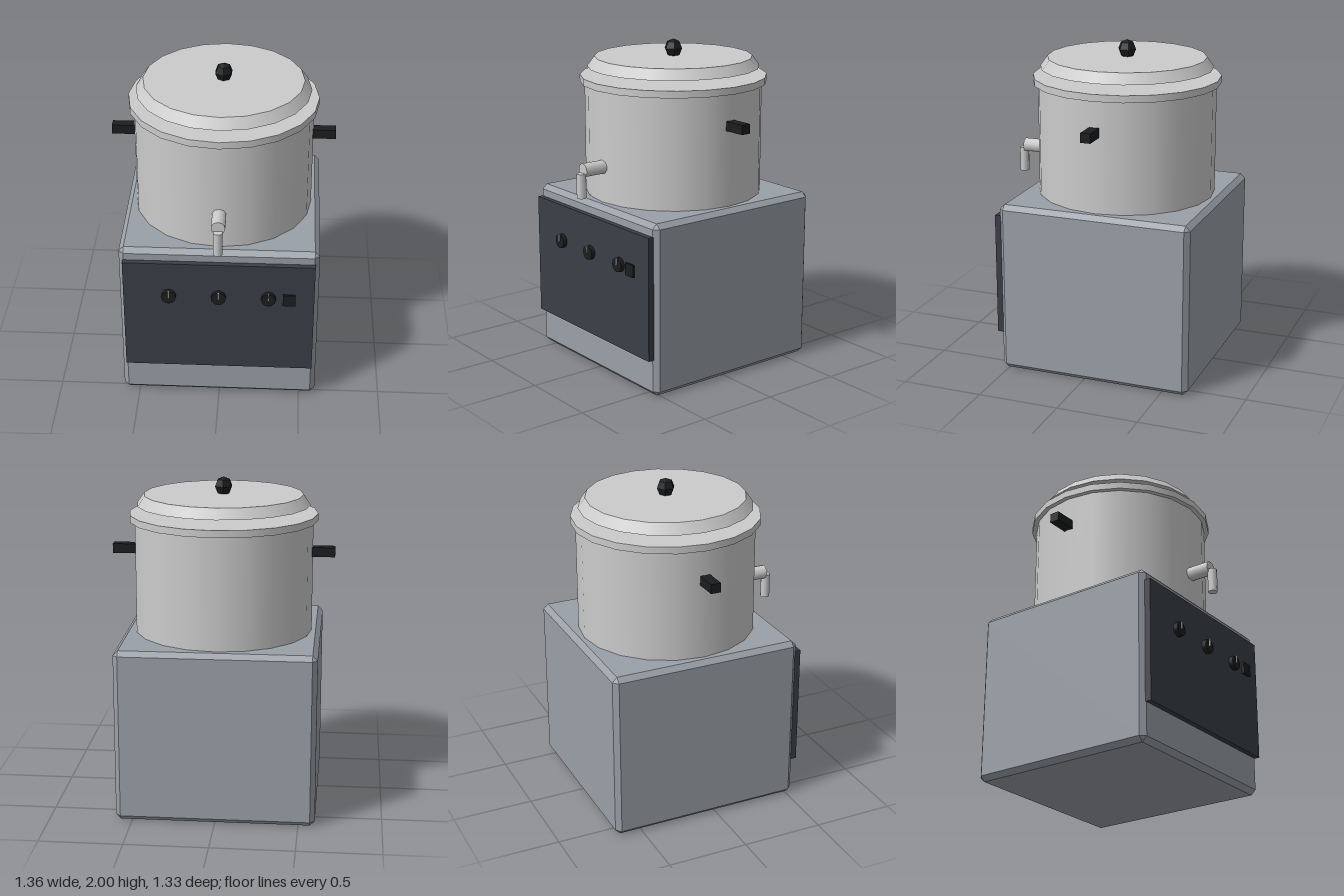
import * as THREE from 'three';
import { ConvexGeometry } from 'three/addons/geometries/ConvexGeometry.js';

const mat = (color, flatShading = false) => new THREE.MeshStandardMaterial({ color, flatShading });
const steel = mat(0xcfcfd2);
const casing = mat(0x9aa0a8);
const panelGrey = mat(0x3a3e47);
const black = mat(0x1b1d1f);
const blackFacet = mat(0x1b1d1f, true);
const white = mat(0xeeeeee);

const CZ = -0.06; // depth of the casing and pot axis

// Box with a single flat chamfer on every edge
function chamferBox(w, h, d, c) {
  const pts = [];
  for (const x of [-1, 1]) for (const y of [-1, 1]) for (const z of [-1, 1]) {
    for (const k of [0, 1, 2]) {
      pts.push(new THREE.Vector3(
        x * (w / 2 - (k === 0 ? 0 : c)),
        y * (h / 2 - (k === 1 ? 0 : c)),
        z * (d / 2 - (k === 2 ? 0 : c))));
    }
  }
  return new ConvexGeometry(pts);
}

export function createModel() {
  const model = new THREE.Group();
  model.name = 'countertopCooker';

  const add = (name, geometry, material, x, y, z) => {
    const mesh = new THREE.Mesh(geometry, material);
    mesh.name = name;
    mesh.position.set(x, y, z);
    model.add(mesh);
    return mesh;
  };
  const box = (name, w, h, d, material, x, y, z) =>
    add(name, new THREE.BoxGeometry(w, h, d), material, x, y, z);
  const drum = (name, rTop, rBottom, y0, y1, sides, material, x, z) =>
    add(name, new THREE.CylinderGeometry(rTop, rBottom, y1 - y0, sides), material, x, (y0 + y1) / 2, z);

  // Casing and control panel
  add('casing', chamferBox(1.2, 1.06, 1.204, 0.03), casing, 0, 0.53, CZ);
  box('controlPanel', 1.15, 0.755, 0.04, panelGrey, 0, 0.608, 0.555);

  // Dials with pointer marks
  for (const x of [-0.3, 0, 0.3]) {
    const dial = add('dial', new THREE.CylinderGeometry(0.044, 0.044, 0.03, 12), black, x, 0.76, 0.587);
    dial.rotation.x = Math.PI / 2;
    box('dialPointer', 0.008, 0.045, 0.01, white, x, 0.782, 0.605);
  }

  // Power switch
  box('powerSwitch', 0.076, 0.076, 0.013, black, 0.424, 0.76, 0.596);

  // Pot with rim, and lid held slightly above it
  drum('pot', 0.545, 0.545, 1.05, 1.75, 20, steel, 0, CZ);
  drum('potRim', 0.574, 0.574, 1.742, 1.785, 20, steel, 0, CZ);
  drum('lid', 0.484, 0.528, 1.836, 1.898, 20, steel, 0, CZ);

  // Faceted lid knob
  const knob = add('lidKnob', new THREE.SphereGeometry(0.057, 6, 4), blackFacet, 0, 1.943, CZ);
  knob.rotation.y = Math.PI / 2;

  // Side handles
  for (const s of [-1, 1]) {
    box('handle', 0.16, 0.058, 0.062, black, s * 0.6, 1.552, CZ);
  }

  // Tap: horizontal pipe and downward spout
  const pipe = add('tapPipe', new THREE.CylinderGeometry(0.043, 0.043, 0.185, 10), steel, 0, 1.278, 0.532);
  pipe.rotation.x = Math.PI / 2;
  drum('tapSpout', 0.029, 0.029, 1.11, 1.26, 10, steel, 0, 0.636);

  return model;
}
